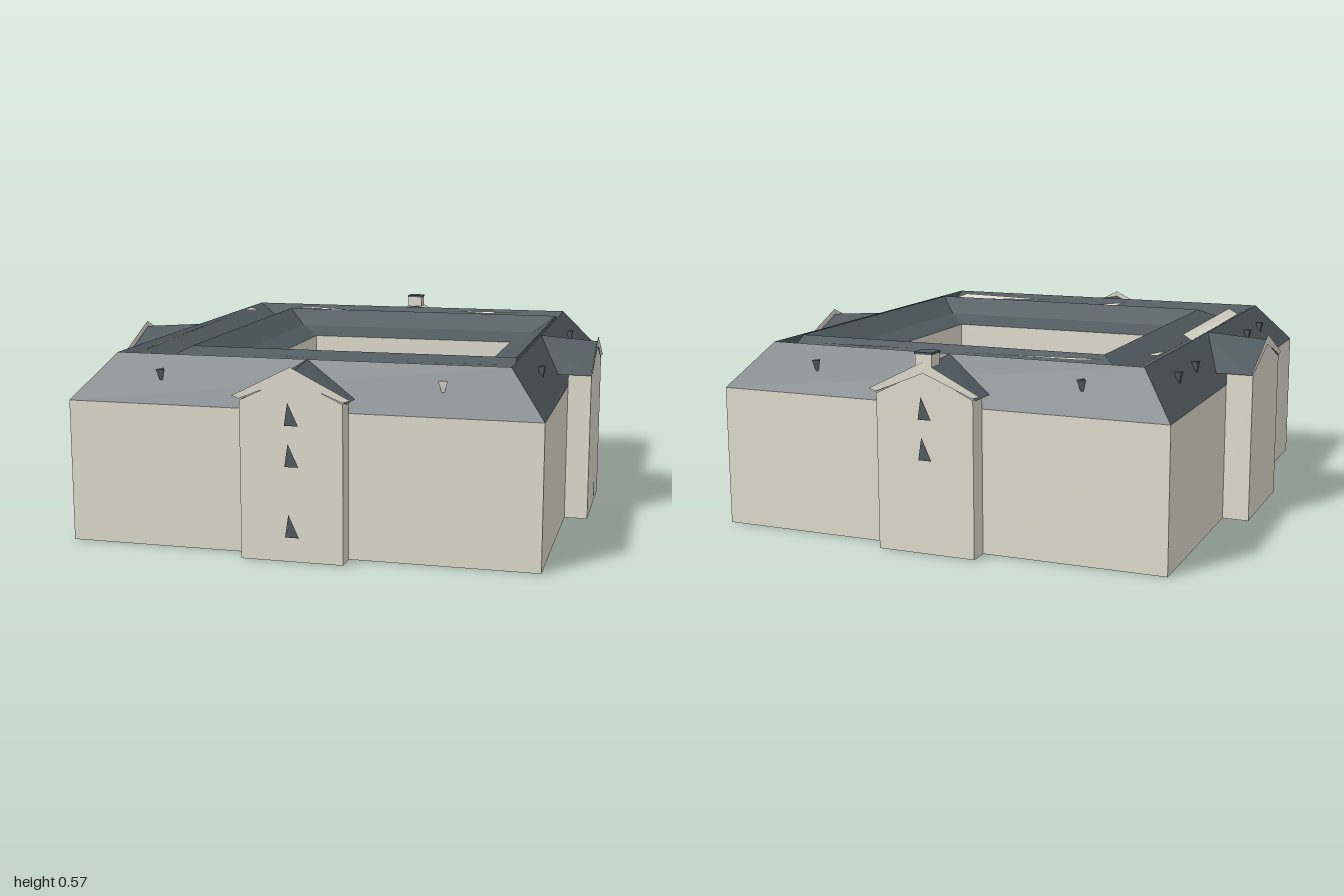
import * as THREE from 'three';

const mat = (name, color) => {
  const m = new THREE.MeshStandardMaterial({ color, side: THREE.DoubleSide, flatShading: true });
  m.name = name;
  return m;
};

// Flat-faced geometry from a list of polygons (each a fan of [x, y, z])
function polys(list) {
  const pos = [];
  for (const p of list)
    for (let i = 1; i < p.length - 1; i++) pos.push(...p[0], ...p[i], ...p[i + 1]);
  const g = new THREE.BufferGeometry();
  g.setAttribute('position', new THREE.Float32BufferAttribute(pos, 3));
  g.computeVertexNormals();
  return g;
}

// Faces between successive closed loops
function loft(loops) {
  const faces = [];
  for (let k = 0; k < loops.length - 1; k++) {
    const a = loops[k], b = loops[k + 1], n = a.length;
    for (let i = 0; i < n; i++) {
      const j = (i + 1) % n;
      faces.push([a[i], a[j], b[j], b[i]]);
    }
  }
  return polys(faces);
}

const rect = (cx, cz, hx, hz, y) => [
  [cx - hx, y, cz + hz], [cx + hx, y, cz + hz], [cx + hx, y, cz - hz], [cx - hx, y, cz - hz],
];

const turn = (x, z, a) => [x * Math.cos(a) + z * Math.sin(a), -x * Math.sin(a) + z * Math.cos(a)];

export function createModel() {
  const root = new THREE.Group();
  root.name = 'courtyardBuilding';
  const house = new THREE.Group();
  house.name = 'house';
  house.rotation.y = THREE.MathUtils.degToRad(28.3);
  root.add(house);

  const stone = mat('wallStone', 0xe0ddce);
  const slate = mat('roofSlate', 0x505b60);
  const add = (parent, name, geo, material) => {
    const m = new THREE.Mesh(geo, material);
    m.name = name;
    parent.add(m);
    return m;
  };

  const HX = 0.77, HZ = 0.684, EAVE = 0.415, RIDGE = 0.543;
  const CX = 0.015, CZ = 0.077; // courtyard centre
  const court = (y) => rect(CX, CZ, 0.35, 0.35, y);

  // Each side: heading, half length, wall distance, bay half width, bay depth, window heights, dormers
  const sides = [
    { name: 'front', a: 0, L: HX, D: HZ, w: 0.182, p: 0.07, win: [0.03], dorm: [-0.4, 0.4] },
    { name: 'left', a: Math.PI / 2, L: HZ, D: HX, w: 0.147, p: 0.06, win: [0.27, 0.385], dorm: [-0.4, 0.42] },
    { name: 'back', a: Math.PI, L: HX, D: HZ, w: 0.18, p: 0.08, win: [], dorm: [-0.51, -0.33, 0.32, 0.5] },
    { name: 'right', a: -Math.PI / 2, L: HZ, D: HX, w: 0.147, p: 0.06, win: [0.07, 0.27, 0.385], dorm: [-0.42, 0.4] },
  ];

  // Outer wall following the footprint with its four bays
  const plan = sides.flatMap(({ a, L, D, w, p }) =>
    [[-L, D], [-w, D], [-w, D + p], [w, D + p], [w, D]].map(([x, z]) => turn(x, z, a)));
  add(house, 'outerWalls', loft([0, EAVE].map((y) => plan.map(([x, z]) => [x, y, z]))), stone);

  // Outer slope, shallow valley, inner ridge and two-pitch slope to the courtyard
  add(house, 'mainRoof', loft([
    rect(0, 0, HX, HZ, EAVE),
    rect(0, 0, HX - 0.107, HZ - 0.107, RIDGE),
    rect(0.007, 0.04, 0.585, 0.532, 0.5),
    rect(CX, CZ, 0.5, 0.49, RIDGE),
    rect(CX, CZ, 0.425, 0.42, 0.492),
    court(0.465),
  ]), slate);

  // Courtyard walls and the low flat roof between them
  add(house, 'courtyardWalls', loft([court(0), court(0.465)]), stone);
  add(house, 'courtyardRoof', polys([court(0.385)]), slate);

  // Pale slivers of wall showing in the roof valley
  add(house, 'valleyWalls', polys([
    [[-0.51, 0.531, -0.55], [0.14, 0.535, -0.565], [0.12, 0.55, -0.53], [-0.5, 0.55, -0.52]],
    [[0.57, 0.54, -0.43], [0.61, 0.54, -0.38], [0.565, 0.53, 0.03]],
    [[0.6, 0.54, 0.15], [0.62, 0.54, 0.47], [0.595, 0.535, 0.3]],
    [[0.4, 0.545, -0.56], [0.49, 0.545, -0.56], [0.46, 0.54, -0.52]],
    [[-0.59, 0.535, 0.15], [-0.61, 0.54, 0.53], [-0.55, 0.53, 0.55]],
    [[-0.59, 0.54, -0.12], [-0.55, 0.53, -0.08], [-0.57, 0.53, 0.0]],
  ]), stone);

  for (const { name, a, D, w, p, win, dorm } of sides) {
    const side = new THREE.Group();
    side.name = name + 'Side';
    side.rotation.y = a;
    house.add(side);
    const z = D + p, e = w + 0.01, back = D - 0.107, f = z + 0.003;

    // Bay gable: raised cheeks and a pointed front
    add(side, 'bayGable', polys([
      [[-w, EAVE, z], [w, EAVE, z], [w, 0.45, z], [0, 0.52, z], [-w, 0.45, z]],
      ...[-w, w].map((x) => [[x, EAVE, z], [x, EAVE, D], [x, 0.45, D], [x, 0.45, z]]),
    ]), stone);

    // Pale chevron trim standing just above the roof edge
    add(side, 'gableTrim', polys([-1, 1].map((s) =>
      [[0, 0.515, f], [s * w, 0.455, f], [s * (e + 0.012), 0.462, f], [0, 0.547, f]])), stone);

    // Bay roof running back into the main slope
    add(side, 'bayRoof', polys([-1, 1].map((s) =>
      [[s * e, 0.45, z], [0, 0.53, z], [0, RIDGE, back], [s * e, 0.45, D - 0.03]])), slate);

    // Narrow pointed window panes
    win.forEach((y) => add(side, 'bayWindow', polys([
      [[-0.018, y, z + 0.004], [0.022, y, z + 0.004], [-0.008, y + 0.065, z + 0.004]],
    ]), slate));

    // Tiny pointed dormers, one of them pale
    dorm.forEach((x) => {
      const pale = name === 'right' && x > 0;
      const d = add(side, 'dormer', new THREE.ConeGeometry(0.016, 0.045, 3), pale ? stone : slate);
      d.position.set(x, 0.485, D - 0.053);
      d.rotation.x = Math.PI;
    });

    // Slate-capped block crowning the left gable
    if (name === 'left') {
      const block = add(side, 'gableBlock', new THREE.BoxGeometry(0.05, 0.035, 0.05), stone);
      block.position.set(0, 0.55, z - 0.025);
      const cap = add(side, 'gableBlockCap', new THREE.BoxGeometry(0.054, 0.006, 0.054), slate);
      cap.position.set(0, 0.57, z - 0.025);
    }
  }
  return root;
}
